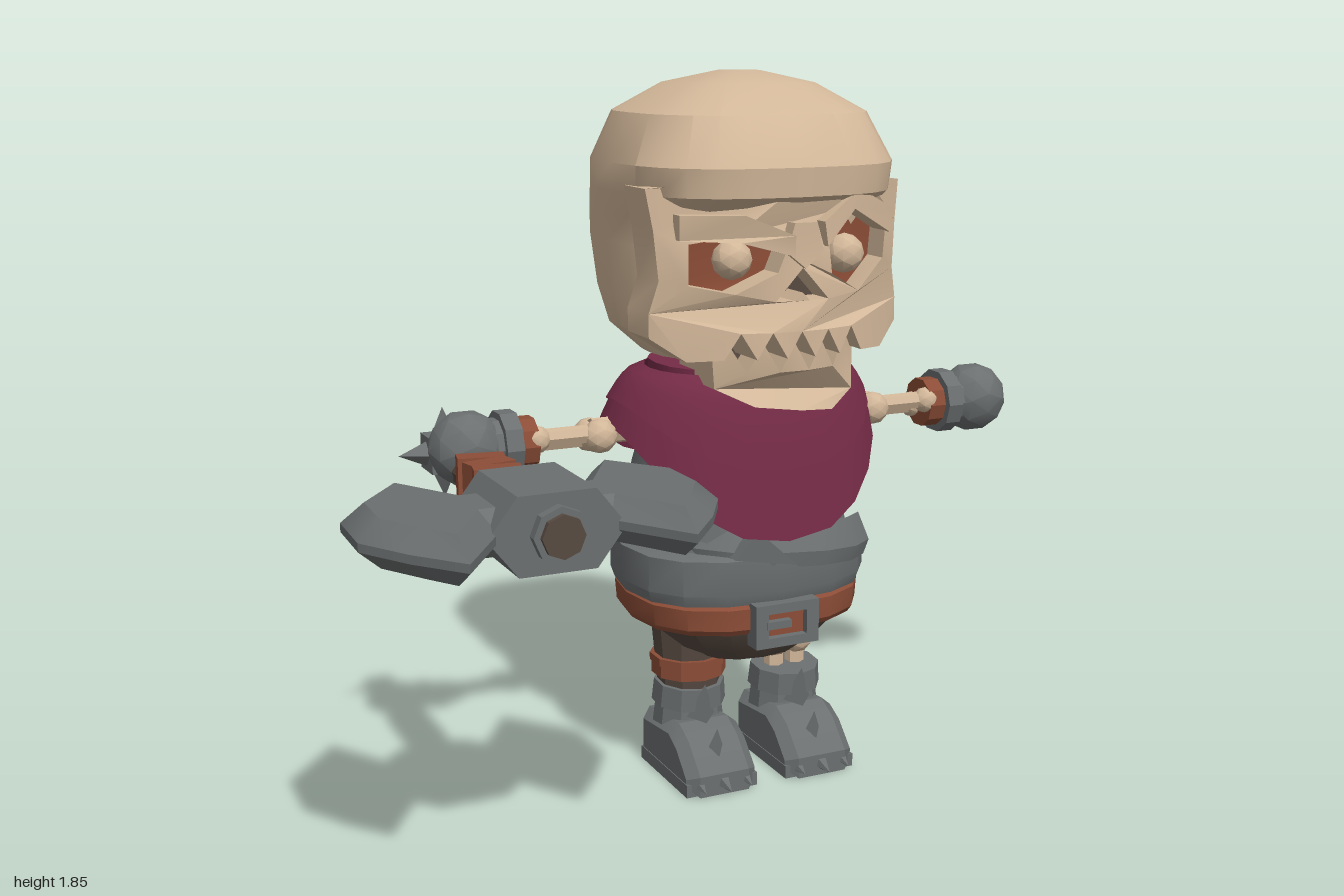
import * as THREE from 'three';
import { toCreasedNormals } from 'three/addons/utils/BufferGeometryUtils.js';

const mat = (name, color, side = THREE.FrontSide) => {
  const m = new THREE.MeshStandardMaterial({ color, side });
  m.name = name;
  return m;
};

// Closed or partial skin over horizontal rings [y, halfWidth, zFront, zBack]
function loft(rings, seg = 20, pow = 0.8, start = 0, arc = Math.PI * 2) {
  const pos = [], idx = [], n = seg + 1;
  const bend = (v) => Math.sign(v) * Math.abs(v) ** pow;
  rings.forEach(([y, rx, zf, zb]) => {
    for (let j = 0; j <= seg; j++) {
      const a = start + (arc * j) / seg;
      pos.push(rx * bend(Math.sin(a)), y, (zf + zb) / 2 + ((zf - zb) / 2) * bend(Math.cos(a)));
    }
  });
  for (let i = 0; i < rings.length - 1; i++)
    for (let j = 0; j < seg; j++) {
      const a = i * n + j, d = a + n;
      idx.push(a, a + 1, d + 1, a, d + 1, d);
    }
  if (arc > 6.2) {
    const last = rings.length - 1, b = pos.length / 3;
    for (const r of [rings[0], rings[last]]) pos.push(0, r[0], (r[2] + r[3]) / 2);
    for (let j = 0; j < seg; j++) idx.push(b, j + 1, j, last * n + j, last * n + j + 1, b + 1);
  }
  const g = new THREE.BufferGeometry();
  g.setAttribute('position', new THREE.Float32BufferAttribute(pos, 3));
  g.setIndex(idx);
  return g;
}

const vecs = (pts) => pts.map(([x, y]) => new THREE.Vector2(x, y));

// Extruded outline in x/y, curved backwards towards its sides
function plate(pts, front, depth, curve, holes = []) {
  const s = new THREE.Shape(vecs(pts));
  holes.forEach((h) => s.holes.push(new THREE.Path(vecs(h))));
  const g = new THREE.ExtrudeGeometry(s, { depth, bevelEnabled: false });
  const p = g.attributes.position;
  for (let i = 0; i < p.count; i++) p.setZ(i, p.getZ(i) + front - depth - curve * p.getX(i) ** 2);
  return g;
}

// Shoulder cape: wide ring at the neck, long pointed hem front and back
function cape(grow, length) {
  const g = new THREE.PlaneGeometry(1, 1, 24, 5), p = g.attributes.position;
  for (let i = 0; i < p.count; i++) {
    const a = p.getX(i) * Math.PI * 2, v = (0.5 - p.getY(i)) * length;
    const s = Math.sin(a), c = Math.cos(a), r = v ** 0.6;
    const wide = Math.sign(s) * Math.abs(s) ** 0.8;
    const hem = 0.97 - 0.28 * Math.max(0, c) ** 2 - 0.18 * Math.max(0, -c) ** 2;
    const x = wide * (0.26 + (0.11 + grow) * r);
    const z = -0.2 - 0.03 * r + c * (0.2 + (0.11 + grow) * r);
    p.setXYZ(i, x, 1.11 + (hem - 1.11) * v ** 1.2, z);
  }
  return g;
}

export function createModel() {
  const bone = mat('bone', 0xd2b799), iron = mat('iron', 0x6b6f70, THREE.DoubleSide);
  const cloth = mat('wineCloth', 0x762c47, THREE.DoubleSide);
  const leather = mat('leather', 0x8c4d37), dark = mat('darkBrown', 0x574a41);
  const model = new THREE.Group();
  const body = new THREE.Group();
  body.name = 'figure';
  body.position.x = 0.165;
  model.add(body);

  const add = (name, geo, m, [x, y, z] = [0, 0, 0], [rx, ry, rz] = [0, 0, 0], parent = body) => {
    const mesh = new THREE.Mesh(toCreasedNormals(geo, 0.55), m);
    mesh.name = name;
    mesh.position.set(x, y, z);
    mesh.rotation.set(rx, ry, rz);
    parent.add(mesh);
    return mesh;
  };
  const box = (w, h, d) => new THREE.BoxGeometry(w, h, d);
  const cyl = (a, b, h, n = 10) => new THREE.CylinderGeometry(a, b, h, n);
  const ball = (r) => new THREE.IcosahedronGeometry(r, 1);

  // Skull, recessed below the brow
  add('cranium', loft([[1.15, 0.26, -0.02, -0.38], [1.21, 0.31, 0, -0.53], [1.3, 0.33, 0.02, -0.575],
    [1.43, 0.335, 0.03, -0.62], [1.5, 0.34, 0.04, -0.61], [1.56, 0.35, 0.145, -0.6], [1.63, 0.355, 0.15, -0.58],
    [1.75, 0.3, 0.08, -0.53], [1.82, 0.18, -0.04, -0.41], [1.85, 0.05, -0.17, -0.27]], 24, 0.72), bone);

  // Face with eye sockets, nose opening and pointed upper teeth
  const sockets = [
    [[-0.265, 1.45], [-0.165, 1.47], [-0.045, 1.43], [-0.065, 1.38], [-0.165, 1.33], [-0.265, 1.35]],
    [[0.075, 1.44], [0.145, 1.53], [0.285, 1.46], [0.275, 1.39], [0.175, 1.32], [0.085, 1.37]]];
  const nose = [[0, 1.39], [-0.07, 1.31], [-0.02, 1.31], [0, 1.33], [0.02, 1.31], [0.075, 1.31]];
  const teeth = [];
  for (let i = 0; i <= 10; i++) teeth.push([-0.19 + i * 0.038, i % 2 ? 1.235 : 1.17]);
  const face = [...teeth, [0.27, 1.165], [0.345, 1.22], [0.345, 1.28], [0.325, 1.36], [0.335, 1.48], [0.35, 1.58],
    [0.2, 1.6], [0, 1.6], [-0.2, 1.6], [-0.35, 1.58], [-0.335, 1.48], [-0.325, 1.36], [-0.345, 1.28],
    [-0.345, 1.22], [-0.27, 1.165]];
  add('face', plate(face, 0.135, 0.13, 1.2, [...sockets, nose]), bone);
  sockets.forEach((s, i) => {
    add('eyeSocket', plate(s, 0.06, 0.008, 1.2), leather);
    add('eye', ball(0.05), bone, [i ? 0.155 : -0.155, 1.41, 0.06]);
  });
  add('noseHollow', plate(nose, 0.055, 0.008, 1.2), dark);
  add('browRidge', plate([[-0.29, 1.46], [-0.16, 1.455], [-0.03, 1.42], [-0.03, 1.47], [-0.15, 1.52], [-0.29, 1.52]],
    0.155, 0.08, 1.2), bone);
  add('browRidge', plate([[0.06, 1.44], [0.145, 1.525], [0.29, 1.455], [0.31, 1.51], [0.16, 1.575], [0.05, 1.5]],
    0.155, 0.08, 1.2), bone);
  add('noseBridge', plate([[-0.05, 1.43], [0, 1.39], [0.05, 1.43], [0.03, 1.5], [-0.03, 1.5]], 0.15, 0.04, 1.2), bone);

  // Lower jaw
  const jaw = [[-0.19, 1.09], [-0.1, 1.045], [0.02, 1.03], [0.12, 1.02], [0.2, 1.06], [0.2, 1.18]];
  for (let i = 0; i <= 8; i++) jaw.push([0.16 - i * 0.04, i % 2 ? 1.13 : 1.2]);
  jaw.push([-0.195, 1.18]);
  add('lowerJaw', plate(jaw, 0.1, 0.2, 1.8), bone, [0, 0, 0]);
  add('mouthHollow', plate([[-0.17, 1.1], [0, 1.1], [0.17, 1.1], [0.17, 1.24], [0, 1.24], [-0.17, 1.24]], 0.02, 0.008, 1.2), dark);
  add('neck', cyl(0.07, 0.08, 0.3), bone, [0, 1.05, -0.2]);

  // Cape with an overlapping upper fold
  add('cape', cape(0, 1), cloth);
  add('capeFold', cape(0.012, 0.62), cloth);
  add('capeCollar', loft([[1.06, 0.24, -0.02, -0.38], [1.12, 0.24, -0.02, -0.4]]), cloth);

  // Vest open over the ribs on the left side
  add('torsoCore', loft([[0.5, 0.26, 0, -0.46], [0.7, 0.19, -0.08, -0.4], [1.04, 0.18, -0.1, -0.38]], 14), dark);
  add('vest', loft([[0.58, 0.315, 0.03, -0.49], [0.7, 0.285, 0.015, -0.5], [0.82, 0.265, 0, -0.5],
    [1.03, 0.22, -0.04, -0.42]], 16, 0.8, 2.13, 5.17), iron);
  for (let i = 0; i < 4; i++) {
    const rib = new THREE.TorusGeometry(0.235, 0.032, 5, 7, 1.9);
    rib.rotateZ(-0.95).rotateX(Math.PI / 2);
    add('rib', rib, bone, [0.015 - i * 0.01, 0.67 + i * 0.085, -0.23], [i % 2 ? 0.1 : -0.06, 0, 0.08]);
  }
  add('vestBand', loft([[0.52, 0.325, 0.045, -0.49], [0.55, 0.335, 0.055, -0.5], [0.64, 0.33, 0.05, -0.51],
    [0.655, 0.29, 0.02, -0.49]], 16), iron);
  add('vestLap', loft([[0.6, 0.3, 0.05, -0.5], [0.64, 0.315, 0.055, -0.52], [0.71, 0.285, 0.02, -0.5]], 14, 0.8, 2.2, 5),
    iron, [-0.01, 0.01, 0], [0, 0, -0.08]);
  add('vestTear', plate([[-0.14, 0.65], [0.03, 0.62], [-0.08, 0.72]], 0.07, 0.04, 0.8), iron);
  add('backKnot', box(0.07, 0.1, 0.05), iron, [0.04, 0.64, -0.51], [0, 0, 0.15]);
  for (const s of [-1, 1]) add('backStrap', box(0.08, 0.22, 0.04), iron, [s * 0.14, 0.78, -0.46], [0.1, 0, s * 0.15]);

  // Breeches and belt
  add('breeches', loft([[0.335, 0.15, -0.06, -0.39], [0.37, 0.21, -0.03, -0.43], [0.45, 0.29, 0.02, -0.48],
    [0.53, 0.3, 0.03, -0.48]], 16), dark);
  add('belt', loft([[0.44, 0.305, 0.04, -0.495], [0.455, 0.315, 0.05, -0.505], [0.51, 0.32, 0.05, -0.505],
    [0.52, 0.31, 0.04, -0.495]], 16), leather);
  const ring = [[-0.09, 0.41], [0.09, 0.41], [0.09, 0.525], [-0.09, 0.525]];
  add('buckle', plate(ring, 0.075, 0.05, 0, [[[-0.055, 0.435], [0.055, 0.435], [0.055, 0.5], [-0.055, 0.5]]]), iron);
  add('buckleLeather', box(0.11, 0.065, 0.02), leather, [0, 0.468, 0.045]);
  add('bucklePin', box(0.07, 0.02, 0.02), iron, [-0.025, 0.47, 0.068]);

  // Legs: clothed on the right, bare bone on the left
  add('trouserLeg', cyl(0.1, 0.08, 0.22), dark, [-0.145, 0.3, -0.22]);
  add('kneeStrap', cyl(0.1, 0.1, 0.05), leather, [-0.145, 0.295, -0.22]);
  add('kneeStrapRim', cyl(0.105, 0.105, 0.02), leather, [-0.145, 0.315, -0.22]);
  for (const s of [-1, 1]) {
    add('shinBone', cyl(0.025, 0.03, 0.16, 7), bone, [0.145 + s * 0.032, 0.25, -0.22]);
    add('knee', ball(0.05), bone, [0.145 + s * 0.035, 0.32, -0.22]);
  }
  add('thighBone', cyl(0.04, 0.04, 0.12, 8), bone, [0.145, 0.37, -0.22]);

  // Clawed boots
  const sole = new THREE.Shape(vecs([[-0.32, 0], [0, 0], [0, 0.05], [-0.07, 0.12], [-0.13, 0.15], [-0.32, 0.13]]));
  for (const x of [-0.145, 0.145]) {
    const boot = new THREE.Group();
    boot.name = 'boot';
    boot.position.x = x;
    body.add(boot);
    const foot = new THREE.ExtrudeGeometry(sole, { depth: 0.14, bevelSize: 0.025, bevelOffset: -0.02, bevelThickness: 0.03, bevelSegments: 1 });
    foot.translate(0, 0, -0.07).rotateY(-Math.PI / 2);
    add('foot', foot, iron, [0, 0.005, 0], [0, 0, 0], boot);
    add('solePlate', box(0.205, 0.035, 0.3), iron, [0, 0.0175, -0.16], [0, 0, 0], boot);
    add('shaft', cyl(0.085, 0.1, 0.12), iron, [0, 0.16, -0.225], [0, 0, 0], boot);
    add('cuff', cyl(0.095, 0.1, 0.06), iron, [0, 0.22, -0.22], [0.08, 0, 0], boot);
    add('cuffPoint', new THREE.ConeGeometry(0.04, 0.1, 4), iron, [0, 0.215, -0.13], [0.3, 0, 0], boot);
    add('instepSpike', new THREE.ConeGeometry(0.035, 0.09, 4), iron, [0, 0.12, -0.05], [0.2, 0, 0], boot);
    for (const t of [-1, 0, 1])
      add('claw', new THREE.ConeGeometry(0.034, 0.09, 5), iron, [t * 0.066, 0.03, t ? -0.01 : 0.005], [1.75, 0, 0], boot);
  }

  // Arms, mirrored
  for (const s of [-1, 1]) {
    const arm = new THREE.Group();
    arm.name = s > 0 ? 'leftArm' : 'rightArm';
    arm.position.set(0, 0.94, -0.235);
    body.add(arm);
    const across = [0, 0, Math.PI / 2];
    add('upperArmBone', cyl(0.035, 0.035, 0.2, 8), bone, [s * 0.31, 0.01, 0], across, arm);
    for (const t of [-1, 1]) {
      add('elbow', ball(0.045), bone, [s * 0.4, 0.005 * t, t * 0.035], [0, 0, 0], arm);
      add('forearmBone', cyl(0.024, 0.024, 0.22, 7), bone, [s * 0.5, 0.012 * t, t * 0.03], across, arm);
      add('wristKnob', ball(0.036), bone, [s * 0.57, 0.012 * t, t * 0.034], [0, 0, 0], arm);
    }
    add('wristStrap', cyl(0.068, 0.068, 0.06), leather, [s * 0.6, 0, 0], across, arm);
    add('gauntletCuff', cyl(0.088, 0.088, 0.045), iron, [s * 0.64, 0, 0], across, arm);
    add('gauntletNeck', cyl(0.07, 0.07, 0.06), iron, [s * 0.675, 0, 0], across, arm);
    add('fist', ball(0.097), iron, [s * 0.742, 0, 0], [0.3, 0, 0], arm);
  }

  // Double-headed axe pointing forward from the right hand
  const axe = new THREE.Group();
  axe.name = 'axe';
  axe.position.set(-0.755, 0.9, 0);
  body.add(axe);
  const along = [Math.PI / 2, 0, 0];
  add('handle', cyl(0.045, 0.045, 0.86, 8), dark, [0, 0, 0.05], along, axe);
  [-0.08, -0.015, 0.045].forEach((z, i) =>
    add('gripWrap', box(0.115, 0.115, 0.055), leather, [0, 0, z], [0, i % 2 ? 0.2 : -0.2, 0], axe));
  const half = [[0.13, 0.2], [0.25, 0.01], [0.41, 0.2], [0.415, 0.37], [0.34, 0.5], [0.25, 0.615], [0.13, 0.43]];
  const outline = [...half, ...half.map(([x, z]) => [-x, z]).reverse()];
  const blade = new THREE.ExtrudeGeometry(new THREE.Shape(vecs(outline)),
    { depth: 0.02, bevelSize: 0.05, bevelOffset: -0.05, bevelThickness: 0.045, bevelSegments: 1 });
  blade.translate(0, 0, -0.01).rotateX(Math.PI / 2);
  add('blades', blade, iron, [0, 0, 0], [0, 0, 0], axe);
  const hub = new THREE.Shape(vecs([[-0.16, 0], [-0.09, -0.09], [0.09, -0.09], [0.16, 0], [0.09, 0.09], [-0.09, 0.09]]));
  add('axeHub', new THREE.ExtrudeGeometry(hub, { depth: 0.26, bevelEnabled: false }), iron, [0, 0, 0.185], [0, 0, 0], axe);
  add('handleCollar', cyl(0.065, 0.065, 0.03, 8), iron, [0, 0, 0.455], along, axe);
  add('handleEnd', cyl(0.05, 0.05, 0.03, 8), dark, [0, 0, 0.468], along, axe);
  add('pommel', box(0.09, 0.09, 0.1), iron, [0, 0, -0.385], [0, 0, 0], axe);
  for (let i = 0; i < 4; i++) {
    const a = (i * Math.PI) / 2;
    add('pommelSpike', new THREE.ConeGeometry(0.035, 0.08, 4), iron,
      [-Math.sin(a) * 0.078, Math.cos(a) * 0.078, -0.385], [0, 0, a], axe);
  }
  return model;
}
